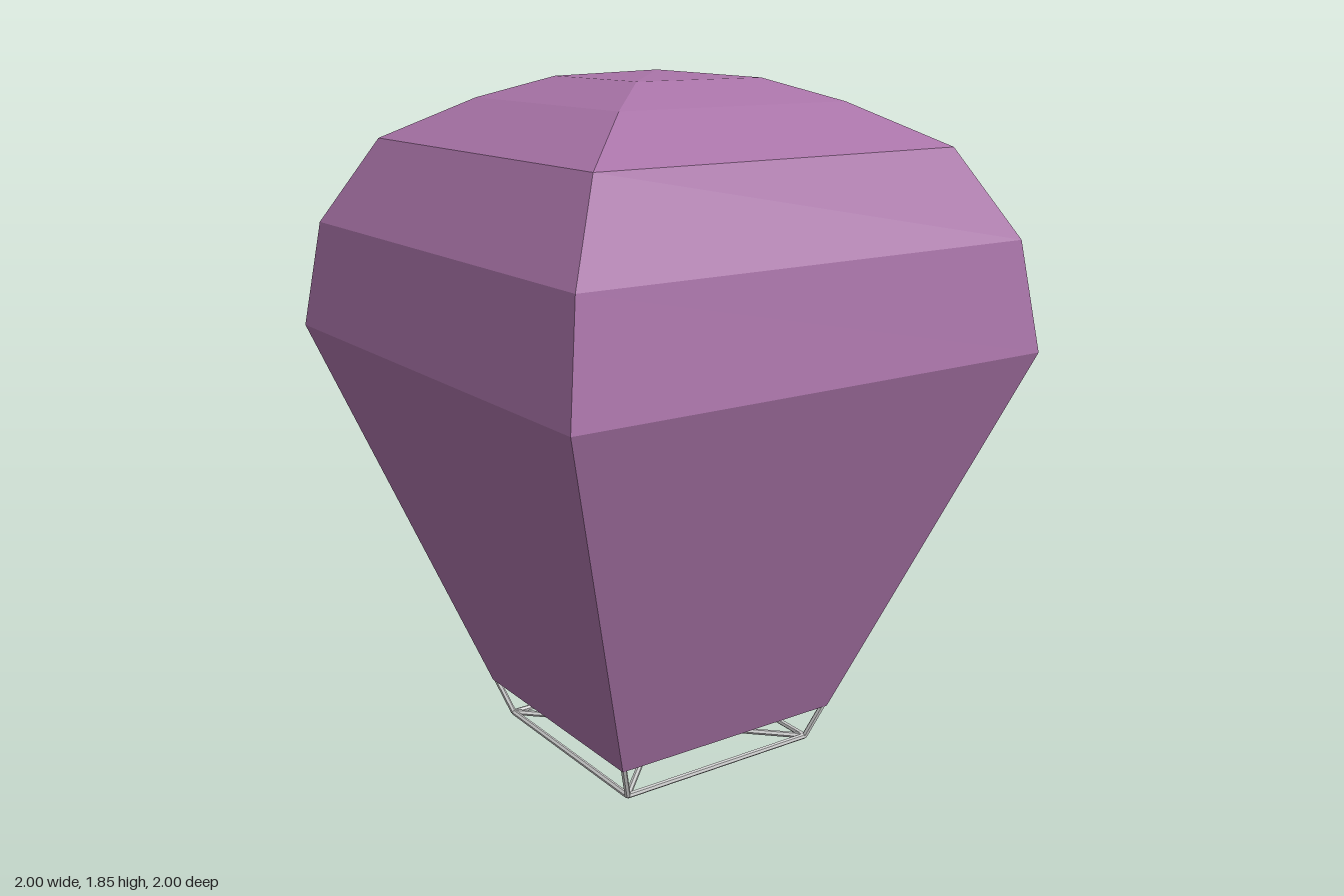
import * as THREE from 'three';

export function createModel() {
  const model = new THREE.Group();
  model.name = 'skyLantern';
  const paper = new THREE.MeshStandardMaterial({ color: 0xa873a7, flatShading: true, side: THREE.DoubleSide });
  const grey = new THREE.MeshStandardMaterial({ color: 0xcccccc, flatShading: true });

  const add = (name, geometry, material, parent = model) => {
    const mesh = new THREE.Mesh(geometry, material);
    mesh.name = name;
    parent.add(mesh);
    return mesh;
  };

  // Four-sided paper envelope, open at the bottom, corners on the axes
  const profile = [[0.485, 0.11], [1, 1.145], [0.94, 1.435], [0.76, 1.665], [0.485, 1.775], [0.27, 1.832], [0, 1.85]];
  add('envelope', new THREE.LatheGeometry(profile.map(([r, y]) => new THREE.Vector2(r, y)), 4), paper);

  // Thin rod between two points
  const frame = new THREE.Group();
  frame.name = 'wireFrame';
  model.add(frame);
  const up = new THREE.Vector3(0, 1, 0);
  const rod = (name, a, b, radius = 0.008) => {
    const dir = b.clone().sub(a);
    const mesh = add(name, new THREE.CylinderGeometry(radius, radius, dir.length(), 6), grey, frame);
    mesh.position.copy(a).add(b).multiplyScalar(0.5);
    mesh.quaternion.setFromUnitVectors(up, dir.normalize());
  };
  const corner = (i, r, y) => {
    const a = i * Math.PI / 2;
    return new THREE.Vector3(Math.sin(a) * r, y, Math.cos(a) * r);
  };

  // Base square and the struts that join it to the envelope
  for (let i = 0; i < 4; i++) {
    rod('baseRod', corner(i, 0.425, 0.012), corner(i + 1, 0.425, 0.012));
    rod('cornerStrut', corner(i, 0.425, 0.012), corner(i, 0.475, 0.115));
  }
  // Crossing rods that carry the burner
  for (let i = 0; i < 2; i++) rod('crossRod', corner(i, 0.425, 0.012), corner(i + 2, 0.425, 0.012));

  // Fuel cell in the middle
  add('burner', new THREE.CylinderGeometry(0.12, 0.12, 0.055, 10), grey).position.y = 0.043;

  return model;
}
